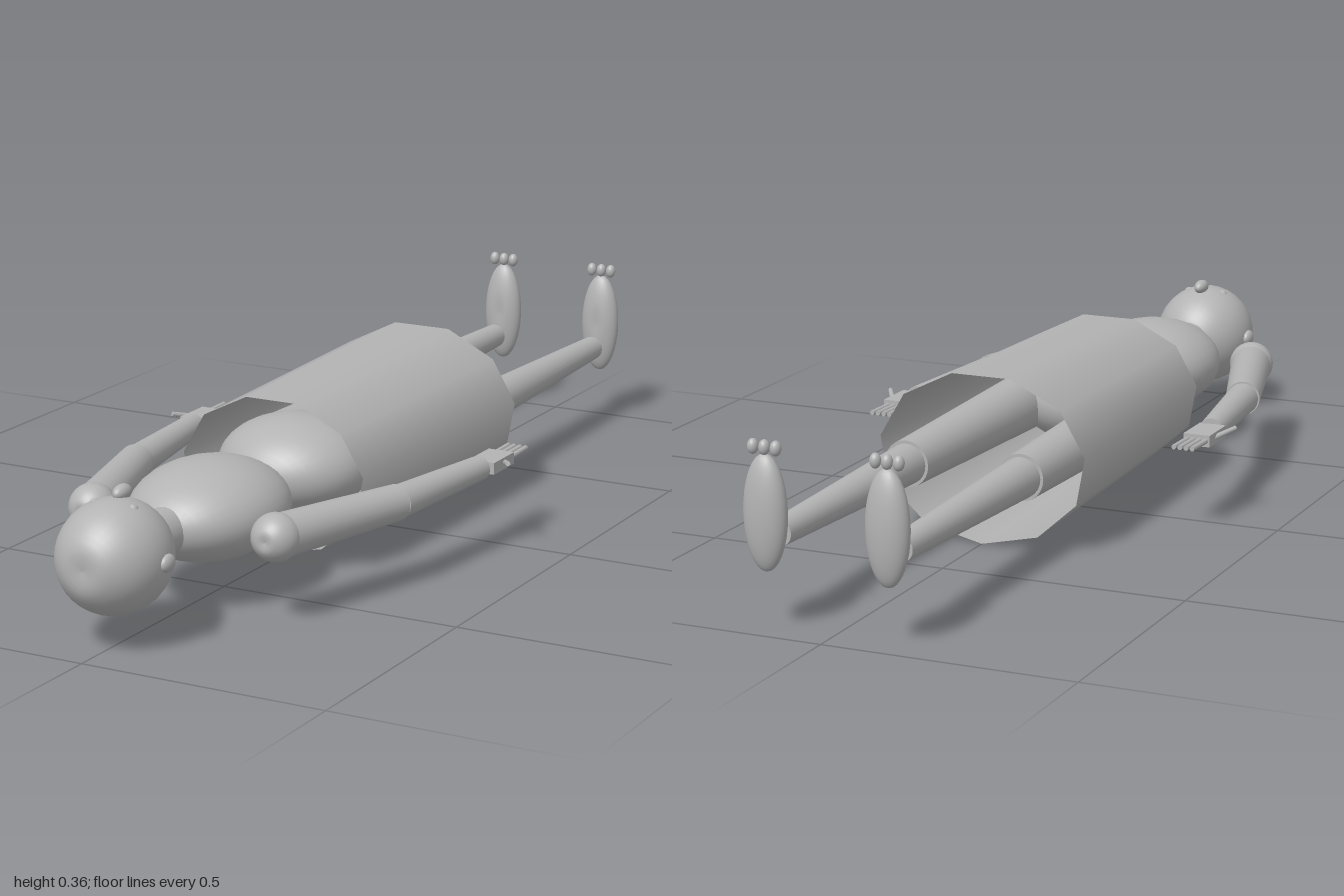
import * as THREE from 'three';

const grey = new THREE.MeshStandardMaterial({ color: 0xb3b3b3 });
grey.name = 'plain grey';
const greyCloth = new THREE.MeshStandardMaterial({ color: 0xb3b3b3, side: THREE.DoubleSide });
greyCloth.name = 'plain grey cloth';
const AXIS_Y = 0.17;

const v = (x, y, z) => new THREE.Vector3(x, y, z);

function add(parent, name, geometry, material = grey) {
  const mesh = new THREE.Mesh(geometry, material);
  mesh.name = name;
  parent.add(mesh);
  return mesh;
}

// Ellipsoid with its poles along z; dent sinks a small dimple into the +z pole
function ellipsoid(parent, name, pos, rx, ry, rz, dent = 0) {
  const pts = [];
  const n = 24;
  for (let i = 0; i <= n; i++) {
    const a = Math.PI * i / n;
    const sink = dent * Math.max(0, 1 - (n - i) / 3);
    pts.push(new THREE.Vector2(i === 0 || i === n ? 0 : Math.sin(a), -Math.cos(a) - sink));
  }
  const g = new THREE.LatheGeometry(pts, 32);
  g.rotateX(Math.PI / 2);
  const mesh = add(parent, name, g);
  mesh.scale.set(rx, ry, rz);
  mesh.position.copy(pos);
  return mesh;
}

// Tapered limb from point a to point b
function limb(parent, name, a, b, ra, rb, sides = 24) {
  const dir = b.clone().sub(a);
  const mesh = add(parent, name, new THREE.CylinderGeometry(rb, ra, dir.length(), sides));
  mesh.position.copy(a).add(b).multiplyScalar(0.5);
  mesh.quaternion.setFromUnitVectors(v(0, 1, 0), dir.normalize());
  return mesh;
}

function makeHead() {
  const head = new THREE.Group();
  head.name = 'head';
  ellipsoid(head, 'skull', v(0, AXIS_Y, 0.883), 0.107, 0.109, 0.117, 0.08);
  ellipsoid(head, 'nose', v(0, 0.283, 0.855), 0.014, 0.015, 0.025);
  for (const s of [1, -1]) {
    ellipsoid(head, 'eye', v(s * 0.04, 0.262, 0.883), 0.011, 0.011, 0.011);
    ellipsoid(head, 'ear', v(s * 0.107, AXIS_Y, 0.875), 0.011, 0.017, 0.021);
  }
  return head;
}

function makeArm(s) {
  const arm = new THREE.Group();
  arm.name = s > 0 ? 'leftArm' : 'rightArm';
  const elbow = v(s * 0.293, AXIS_Y, 0.345);
  const wrist = v(s * 0.33, 0.172, 0.065);
  ellipsoid(arm, 'shoulder', v(s * 0.2, AXIS_Y, 0.647), 0.047, 0.047, 0.047, 0.12);
  limb(arm, 'upperArm', v(s * 0.203, AXIS_Y, 0.635), elbow, 0.043, 0.036);
  limb(arm, 'forearm', elbow, wrist, 0.033, 0.025);
  // Flat hand, four fingers and a splayed thumb
  const palm = add(arm, 'palm', new THREE.BoxGeometry(0.056, 0.024, 0.09));
  palm.position.set(s * 0.334, 0.174, 0.02);
  for (let i = 0; i < 4; i++) {
    const x = s * (0.314 + i * 0.013);
    limb(arm, 'finger', v(x, 0.174, -0.02), v(x, 0.176, -0.098), 0.0055, 0.005, 10);
  }
  limb(arm, 'thumb', v(s * 0.355, 0.172, 0.005), v(s * 0.387, 0.186, 0.055), 0.006, 0.005, 10);
  return arm;
}

function makeLeg(s) {
  const leg = new THREE.Group();
  leg.name = s > 0 ? 'leftLeg' : 'rightLeg';
  const x = s * 0.122;
  limb(leg, 'thigh', v(s * 0.118, AXIS_Y, 0.15), v(x, AXIS_Y, -0.405), 0.06, 0.047);
  limb(leg, 'shin', v(x, AXIS_Y, -0.4), v(x, AXIS_Y + 0.002, -0.925), 0.041, 0.026);
  ellipsoid(leg, 'foot', v(x, 0.222, -0.97), 0.043, 0.11, 0.028, 0.12);
  for (const dx of [-0.023, 0, 0.023]) {
    ellipsoid(leg, 'toe', v(x + dx, 0.343, -0.97), 0.0105, 0.0145, 0.011);
  }
  return leg;
}

export function createModel() {
  const model = new THREE.Group();
  model.name = 'lyingFigure';
  model.add(makeHead());

  // Torso
  limb(model, 'neck', v(0, AXIS_Y, 0.69), v(0, AXIS_Y, 0.8), 0.046, 0.046);
  ellipsoid(model, 'chest', v(0, 0.173, 0.55), 0.148, 0.096, 0.18);
  ellipsoid(model, 'hips', v(0, 0.178, 0.22), 0.155, 0.098, 0.15);

  // Open skirt: an eleven-sided tube, wider towards the feet
  const cloth = new THREE.CylinderGeometry(0.204, 0.222, 0.635, 11, 1, true);
  cloth.rotateX(Math.PI / 2);
  // A vertex rests on the ground, a flat side faces up
  const skirt = add(model, 'skirt', cloth, greyCloth);
  skirt.scale.y = 0.78;
  skirt.position.set(0, 0.173, -0.005);

  for (const s of [1, -1]) model.add(makeArm(s), makeLeg(s));
  return model;
}
